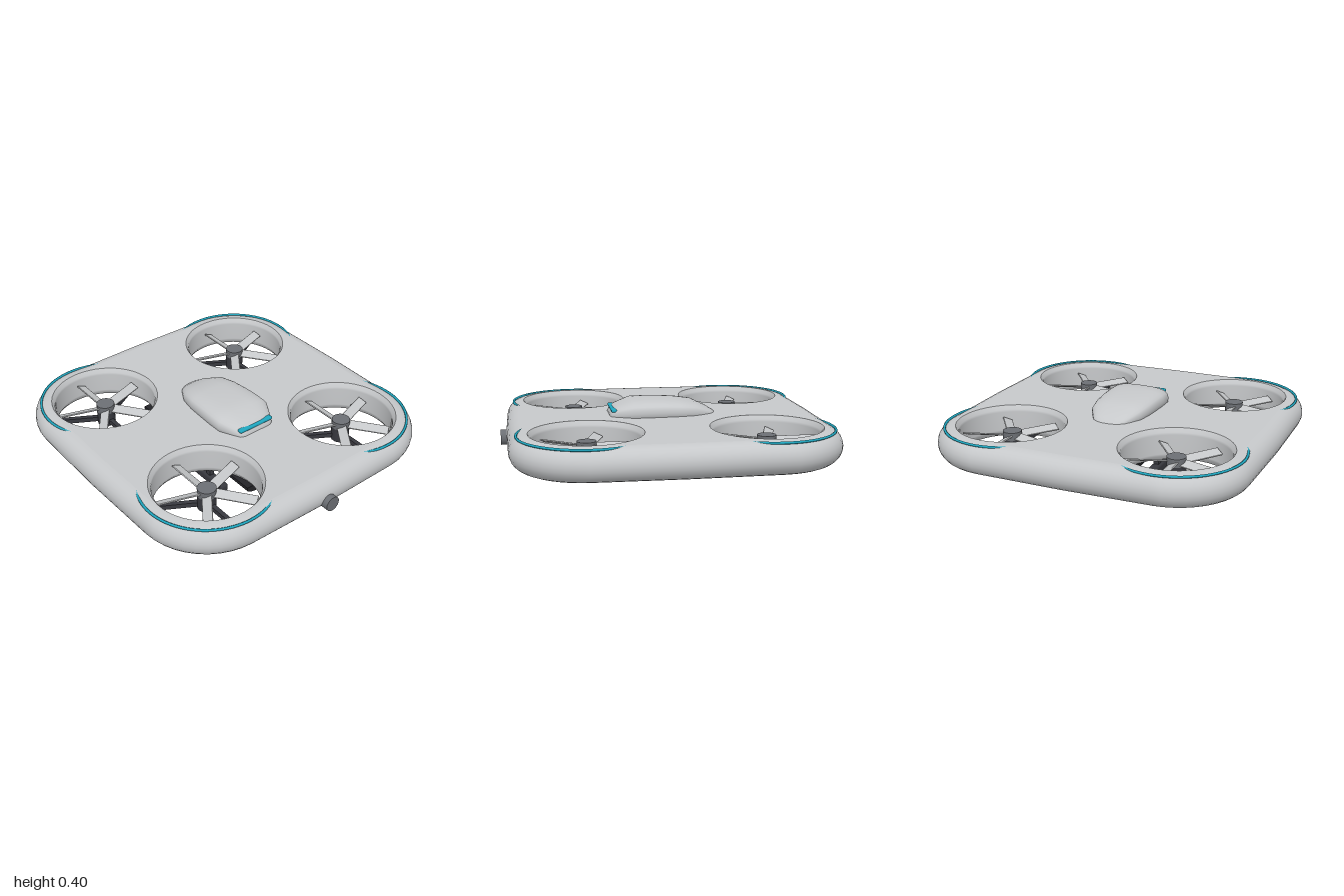
import * as THREE from 'three';
import { RoundedBoxGeometry } from 'three/addons/geometries/RoundedBoxGeometry.js';

const mat = (name, color, side = THREE.FrontSide) => {
  const m = new THREE.MeshStandardMaterial({ color, side });
  m.name = name;
  return m;
};

// Skin over a list of closed rings of points; ends optionally closed with fans
function loft(rings, caps) {
  const n = rings[0].length, pos = [], idx = [];
  rings.forEach(r => r.forEach(p => pos.push(p.x, p.y, p.z)));
  for (let i = 0; i < rings.length - 1; i++) {
    for (let j = 0; j < n; j++) {
      const a = i * n + j, b = i * n + (j + 1) % n, c = a + n, d = b + n;
      idx.push(a, c, b, b, c, d);
    }
  }
  if (caps) {
    [0, rings.length - 1].forEach((i, last) => {
      const mid = new THREE.Vector3();
      rings[i].forEach(p => mid.addScaledVector(p, 1 / n));
      const c = pos.length / 3;
      pos.push(mid.x, mid.y, mid.z);
      for (let j = 0; j < n; j++) {
        const a = i * n + j, b = i * n + (j + 1) % n;
        if (last) idx.push(c, b, a); else idx.push(c, a, b);
      }
    });
  }
  const g = new THREE.BufferGeometry();
  g.setAttribute('position', new THREE.Float32BufferAttribute(pos, 3));
  g.setIndex(idx);
  g.computeVertexNormals();
  return g;
}

const HOLE = 0.53, CORNER = 0.445, MID = 0.984, EDGE = 0.1, YC = 0.2, RIM = 0.335;
const MIDZ = -0.0175;

// Slightly bowed rounded square, inset by d
function outline(d) {
  const pts = [];
  for (let q = 0; q < 4; q++) {
    const base = q * Math.PI / 2;
    pts.push([(MID - d) * Math.cos(base), (MID - d) * Math.sin(base)]);
    const cx = HOLE * Math.SQRT2 * Math.cos(base + Math.PI / 4);
    const cz = HOLE * Math.SQRT2 * Math.sin(base + Math.PI / 4);
    for (let k = 0; k <= 10; k++) {
      const a = base + THREE.MathUtils.degToRad(2 + 86 * k / 10);
      pts.push([cx + (CORNER - d) * Math.cos(a), cz + (CORNER - d) * Math.sin(a)]);
    }
  }
  return pts;
}

export function createModel() {
  const shell = mat('light grey shell', 0xc6c8ca);
  const hubGrey = mat('hub grey', 0x6c6f74);
  const dark = mat('dark grey frame', 0x38393f);
  const black = mat('black tray', 0x242428);
  const teal = mat('teal light', 0x1fa6bf);

  const model = new THREE.Group();
  const add = (parent, name, geo, material, x = 0, y = 0, z = 0) => {
    const m = new THREE.Mesh(geo, material);
    m.name = name;
    m.position.set(x, y, z);
    parent.add(m);
    return m;
  };

  // Body: rounded edge band plus flat top and bottom decks with four holes
  const body = new THREE.Group();
  body.name = 'body';
  body.position.z = MIDZ;
  model.add(body);
  const rings = [];
  for (let i = 0; i <= 12; i++) {
    const t = -Math.PI / 2 + Math.PI * i / 12;
    rings.push(outline(EDGE * (1 - Math.cos(t)))
      .map(([x, z]) => new THREE.Vector3(x, YC + EDGE * Math.sin(t), z)));
  }
  add(body, 'edgeBand', loft(rings, false), shell);

  const deck = new THREE.Shape(outline(EDGE).map(([x, z]) => new THREE.Vector2(x, z)));
  const corners = [[1, 1], [-1, 1], [1, -1], [-1, -1]];
  for (const [sx, sz] of corners) {
    deck.holes.push(new THREE.Path().absarc(sx * HOLE, sz * HOLE, RIM, 0, Math.PI * 2, true));
  }
  const deckGeo = new THREE.ShapeGeometry(deck, 24);
  add(body, 'topDeck', deckGeo.clone().rotateX(-Math.PI / 2), shell, 0, YC + EDGE);
  add(body, 'bottomDeck', deckGeo.clone().rotateX(Math.PI / 2), shell, 0, YC - EDGE);

  // Rotor ducts, propellers, motor struts and light arcs
  const ductGeo = new THREE.LatheGeometry(
    [[RIM, 0.3], [0.318, 0.275], [0.316, 0.26], [0.316, 0.14], [0.318, 0.125], [RIM, 0.1]]
      .map(p => new THREE.Vector2(...p)), 48);
  const bladeGeo = new RoundedBoxGeometry(0.26, 0.01, 0.062, 1, 0.004);
  bladeGeo.rotateX(0.4).translate(0.17, 0, 0);
  const strutGeo = new THREE.BoxGeometry(0.31, 0.03, 0.028).translate(0.165, 0, 0);
  const hubGeo = new THREE.CylinderGeometry(0.057, 0.057, 0.05, 24);
  const motorGeo = new THREE.CylinderGeometry(0.057, 0.057, 0.09, 24);

  class Arc extends THREE.Curve {
    constructor(mid) { super(); this.mid = mid; }
    getPoint(t, out = new THREE.Vector3()) {
      const a = this.mid + THREE.MathUtils.degToRad(-80 + 160 * t);
      return out.set(0.4 * Math.cos(a), 0, 0.4 * Math.sin(a));
    }
  }

  for (const [sx, sz] of corners) {
    const rotor = new THREE.Group();
    rotor.name = (sz > 0 ? 'front' : 'back') + (sx > 0 ? 'Left' : 'Right') + 'Rotor';
    rotor.position.set(sx * HOLE, 0, sz * HOLE);
    body.add(rotor);
    add(rotor, 'duct', ductGeo, shell);
    add(rotor, 'hub', hubGeo, hubGrey, 0, 0.225);
    add(rotor, 'motor', motorGeo, dark, 0, 0.155);
    for (let k = 0; k < 5; k++) {
      add(rotor, 'blade', bladeGeo, shell, 0, 0.22).rotation.y = Math.PI / 2 + k * Math.PI * 0.4;
    }
    for (let k = 0; k < 3; k++) {
      add(rotor, 'strut', strutGeo, dark, 0, 0.14).rotation.y = -Math.PI / 2 + k * Math.PI * 2 / 3;
    }
    add(rotor, 'lightArc', new THREE.TubeGeometry(new Arc(Math.atan2(sz, sx)), 40, 0.008, 6), teal, 0, 0.291);
  }

  // Canopy: sections of [z, half width, top height], front to back
  const sections = [[0.33, 0.1, 0.31], [0.318, 0.123, 0.34], [0.28, 0.145, 0.36], [0.19, 0.192, 0.392],
    [0.1, 0.194, 0.395], [0, 0.189, 0.393], [-0.1, 0.182, 0.386], [-0.2, 0.163, 0.372],
    [-0.3, 0.105, 0.325], [-0.338, 0.06, 0.3]];
  const sgnPow = (v, e) => Math.sign(v) * Math.abs(v) ** e;
  add(model, 'canopy', loft(sections.map(([z, w, top]) => {
    const cy = (top + 0.26) / 2, h = (top - 0.26) / 2, ring = [];
    for (let j = 0; j < 28; j++) {
      const a = j / 28 * Math.PI * 2;
      ring.push(new THREE.Vector3(w * sgnPow(Math.cos(a), 0.7), cy + h * sgnPow(Math.sin(a), 0.7), z));
    }
    return ring;
  }), true), shell);
  add(model, 'canopyLight', new RoundedBoxGeometry(0.25, 0.02, 0.034, 2, 0.008), teal, 0, 0.336, 0.307);

  // Front camera
  add(model, 'camera', new THREE.CylinderGeometry(0.047, 0.047, 0.08, 24).rotateX(Math.PI / 2),
    hubGrey, 0, 0.17, 0.96);

  // Belly tray with rounded lower corners
  const tray = new THREE.Shape();
  tray.moveTo(-0.24, 0.102).lineTo(-0.24, 0.08).quadraticCurveTo(-0.225, 0.06, -0.18, 0.056);
  tray.lineTo(0.18, 0.056).quadraticCurveTo(0.225, 0.06, 0.24, 0.08).lineTo(0.24, 0.102);
  add(model, 'bellyTray', new THREE.ExtrudeGeometry(tray, { depth: 1.07, bevelEnabled: false, curveSegments: 5 }),
    black, 0, 0, -0.54);

  // Landing skids
  for (const s of [1, -1]) {
    const skid = new THREE.Group();
    skid.name = s > 0 ? 'leftSkid' : 'rightSkid';
    skid.position.x = s * 0.295;
    model.add(skid);
    add(skid, 'runner', new RoundedBoxGeometry(0.055, 0.06, 0.78, 2, 0.018), dark, 0, 0.03, -0.003);
    for (const z of [0.24, -0.25]) {
      add(skid, 'leg', new THREE.BoxGeometry(0.032, 0.07, 0.035), dark, 0, 0.075, z);
    }
  }
  return model;
}
